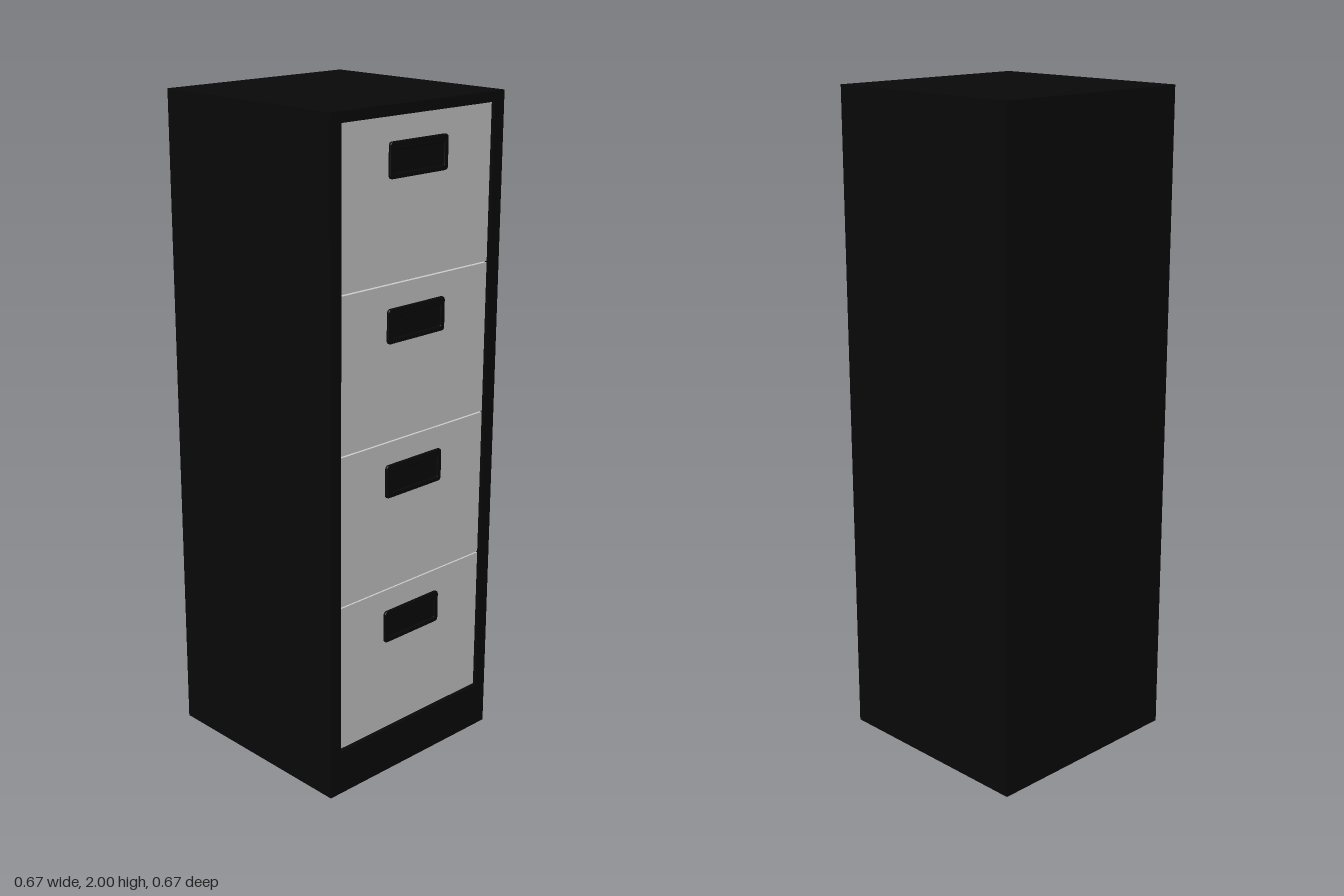
import * as THREE from 'three';

const W = 0.67, H = 2, D = 0.67;                  // cabinet size
const OPEN_W = 0.59, OPEN_Y0 = 0.14, OPEN_Y1 = 1.97; // drawer opening
const FACE_Z = 0.324;                             // drawer face, set just behind the rim
const DRAWERS = 4, PITCH = (OPEN_Y1 - OPEN_Y0) / DRAWERS, GAP = 0.004;
const PULL_W = 0.225, PULL_H = 0.1;

const black = new THREE.MeshStandardMaterial({ color: 0x080808 });
const grey = new THREE.MeshStandardMaterial({ color: 0xcccccc });

function add(parent, name, geometry, material, x = 0, y = 0, z = 0) {
  const mesh = new THREE.Mesh(geometry, material);
  mesh.name = name;
  mesh.position.set(x, y, z);
  parent.add(mesh);
  return mesh;
}

// Rectangle outline centred on x = 0, with optional rounded corners
function rect(path, w, y0, y1, r = 0) {
  const x = w / 2;
  path.moveTo(-x + r, y0).lineTo(x - r, y0);
  if (r) path.quadraticCurveTo(x, y0, x, y0 + r);
  path.lineTo(x, y1 - r);
  if (r) path.quadraticCurveTo(x, y1, x - r, y1);
  path.lineTo(-x + r, y1);
  if (r) path.quadraticCurveTo(-x, y1, -x, y1 - r);
  path.lineTo(-x, y0 + r);
  if (r) path.quadraticCurveTo(-x, y0, -x + r, y0);
  return path;
}

function makePull() {
  const pull = new THREE.Group();
  pull.name = 'drawerPull';
  const h = PULL_H / 2;

  // Rounded bezel around the finger recess
  const ring = rect(new THREE.Shape(), PULL_W - 0.006, -h + 0.003, h - 0.003, 0.008);
  ring.holes.push(rect(new THREE.Path(), PULL_W - 0.024, -h + 0.012, h - 0.012, 0.005));
  const bezel = new THREE.ExtrudeGeometry(ring, {
    depth: 0.005, bevelEnabled: true, bevelThickness: 0.003, bevelSize: 0.003,
    bevelSegments: 2, curveSegments: 4,
  });
  add(pull, 'pullBezel', bezel, black, 0, 0, 0.001);

  // Back of the recess, just proud of the drawer face
  add(pull, 'pullRecess', new THREE.BoxGeometry(PULL_W - 0.02, PULL_H - 0.02, 0.004), black);

  // Rounded finger lip along the top
  const lip = new THREE.CylinderGeometry(0.007, 0.007, PULL_W - 0.024, 12);
  lip.rotateZ(Math.PI / 2);
  add(pull, 'pullLip', lip, black, 0, h - 0.018, 0.002);
  return pull;
}

export function createModel() {
  const model = new THREE.Group();
  model.name = 'filingCabinet';

  // Closed carcass behind the drawer fronts
  const rim = 0.035;
  add(model, 'carcass', new THREE.BoxGeometry(W, H, D - rim), black, 0, H / 2, -rim / 2);

  // Front frame with one tall opening and a deep plinth
  const frame = rect(new THREE.Shape(), W, 0, H);
  frame.holes.push(rect(new THREE.Path(), OPEN_W, OPEN_Y0, OPEN_Y1));
  add(model, 'frontFrame', new THREE.ExtrudeGeometry(frame, { depth: rim, bevelEnabled: false }),
    black, 0, 0, D / 2 - rim);

  // Drawer fronts with their pulls
  const depth = FACE_Z - (D / 2 - rim);
  for (let i = 0; i < DRAWERS; i++) {
    const drawer = new THREE.Group();
    drawer.name = `drawer${i + 1}`;
    drawer.position.set(0, OPEN_Y0 + (i + 0.5) * PITCH, FACE_Z);
    add(drawer, 'drawerFront', new THREE.BoxGeometry(OPEN_W, PITCH - GAP, depth), grey, 0, 0, -depth / 2);
    const pull = makePull();
    pull.position.y = 0.11;
    drawer.add(pull);
    model.add(drawer);
  }
  return model;
}
